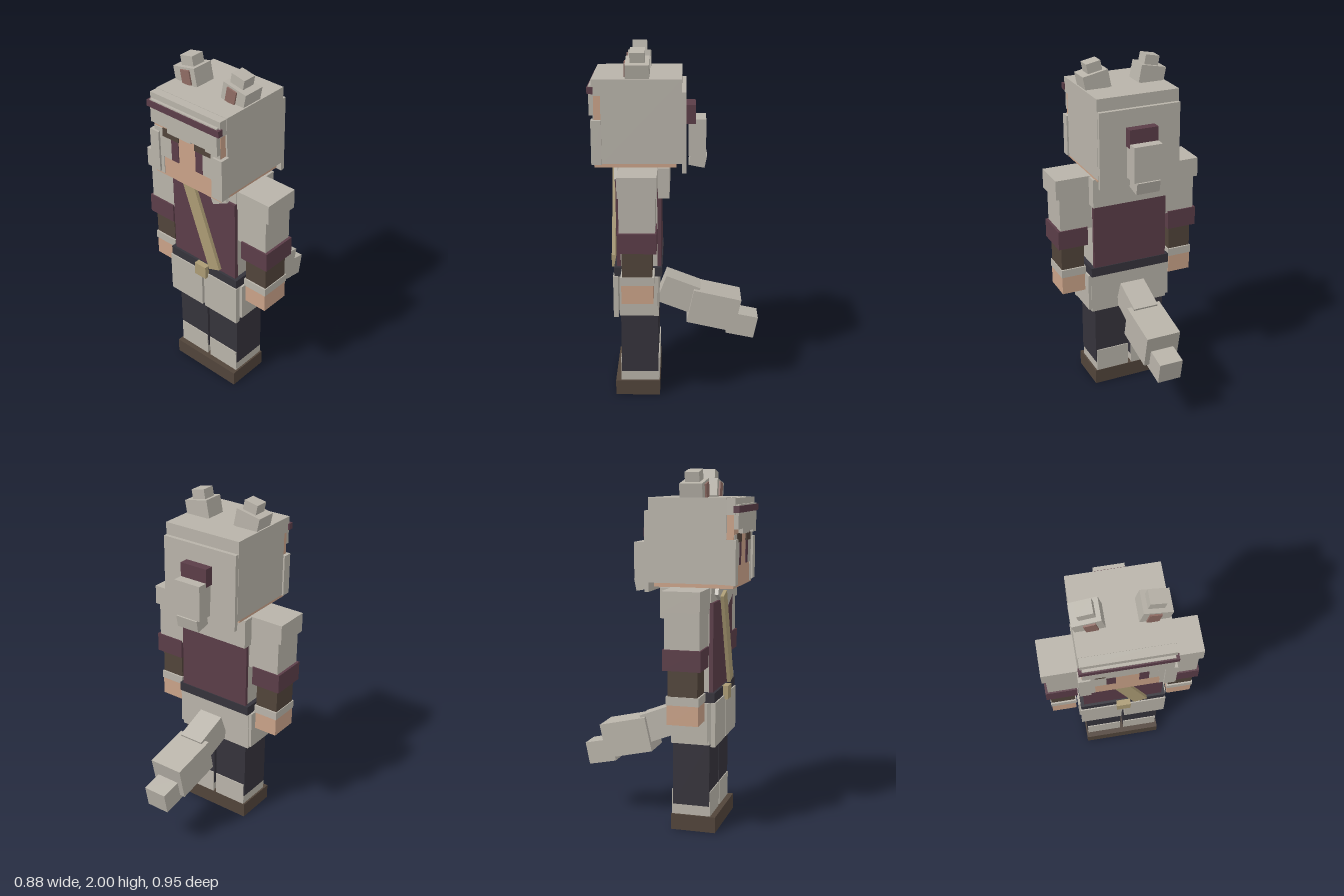
import * as THREE from 'three';

export function createModel() {
  const root = new THREE.Group();
  const mat = (name, color) => {
    const m = new THREE.MeshStandardMaterial({ color });
    m.name = name;
    return m;
  };
  const grey = mat('pale grey', 0xb8b3a9);
  const plum = mat('plum', 0x5b3d48);
  const dark = mat('charcoal', 0x35333b);
  const brown = mat('dark brown', 0x51443a);
  const skin = mat('skin', 0xc9a288);
  const tan = mat('tan', 0xab9b74);
  const pink = mat('inner ear pink', 0x8f6c64);

  // Box from its x, y and z ranges
  const box = (name, m, [x0, x1], [y0, y1], [z0, z1], parent = root) => {
    const mesh = new THREE.Mesh(new THREE.BoxGeometry(x1 - x0, y1 - y0, z1 - z0), m);
    mesh.position.set((x0 + x1) / 2, (y0 + y1) / 2, (z0 + z1) / 2);
    mesh.name = name;
    parent.add(mesh);
    return mesh;
  };
  // Box from centre, size and tilt
  const tilted = (name, m, pos, size, rx, rz) => {
    const mesh = new THREE.Mesh(new THREE.BoxGeometry(...size), m);
    mesh.position.set(...pos);
    mesh.rotation.set(rx, 0, rz);
    mesh.name = name;
    root.add(mesh);
    return mesh;
  };
  // x range on side s (+1 left, -1 right)
  const side = (s, a, b) => (s > 0 ? [a, b] : [-b, -a]);

  // Head and hair
  box('head', skin, [-0.232, 0.232], [1.37, 1.8], [0, 0.44]);
  box('hairCap', grey, [-0.242, 0.242], [1.392, 1.85], [-0.03, 0.402]);
  box('hairTop', grey, [-0.24, 0.24], [1.76, 1.848], [0.39, 0.45]);
  box('hairBack', grey, [-0.24, 0.24], [1.34, 1.78], [-0.053, -0.03]);
  box('headband', plum, [-0.248, 0.248], [1.772, 1.808], [0.44, 0.472]);
  const fringe = [[-0.23, -0.115, 1.685], [-0.115, 0.05, 1.657], [0.05, 0.15, 1.667], [0.15, 0.23, 1.655]];
  for (const [x0, x1, y0] of fringe) box('fringe', grey, [x0, x1], [y0, 1.815], [0.435, 0.465]);

  // Ponytail
  box('hairTie', plum, [-0.085, 0.085], [1.575, 1.68], [-0.105, -0.05]);
  box('ponytail', grey, [-0.084, 0.084], [1.395, 1.6], [-0.162, -0.065]);
  tilted('ponytailTip', grey, [0, 1.367, -0.117], [0.14, 0.07, 0.09], -0.2, 0);

  // Torso
  box('shirt', grey, [-0.222, 0.222], [0.75, 1.37], [0.1, 0.318]);
  box('vestFront', plum, [-0.226, 0.226], [0.79, 1.29], [0.31, 0.332]);
  box('vestBack', plum, [-0.226, 0.226], [0.79, 1.25], [0.085, 0.105]);
  box('backCollar', grey, [-0.245, 0.245], [1.2, 1.369], [0.038, 0.1]);
  tilted('leftCollarFlap', grey, [0.098, 1.333, 0.332], [0.11, 0.15, 0.02], 0, 0.44);
  tilted('rightCollarFlap', grey, [-0.09, 1.355, 0.332], [0.11, 0.11, 0.02], 0, -0.44);
  tilted('sash', tan, [0.006, 1.073, 0.354], [0.08, 0.545, 0.02], 0, 0.345);
  box('belt', dark, [-0.246, 0.246], [0.745, 0.8], [0.08, 0.346]);
  box('buckle', tan, [-0.04, 0.04], [0.725, 0.802], [0.34, 0.374]);
  box('hips', grey, [-0.24, 0.24], [0.505, 0.748], [0.1, 0.318]);

  for (const s of [1, -1]) {
    // Ears
    tilted('ear', grey, [s * 0.165, 1.888, 0.207], [0.15, 0.1, 0.126], 0, -s * 0.2);
    tilted('innerEar', pink, [s * 0.154, 1.888, 0.271], [0.062, 0.08, 0.016], 0, -s * 0.2);
    tilted('earTip', grey, [s * 0.172, 1.965, 0.206], [0.085, 0.055, 0.08], 0, -s * 0.2);

    // Face
    box('sideLock', grey, side(s, 0.19, 0.252), [1.39, 1.63], [0.4, 0.456]);
    box('cheekHair', grey, side(s, 0.168, 0.23), [1.38, 1.655], [0.437, 0.444]);
    box('eyeWhite', grey, side(s, 0.11, 0.168), [1.487, 1.612], [0.437, 0.444]);
    box('iris', plum, side(s, 0.06, 0.11), [1.487, 1.612], [0.437, 0.444]);
    box('eyebrow', brown, side(s, 0.056, 0.168), [1.612, 1.66], [0.438, 0.447]);

    // Arm
    box('shoulder', grey, side(s, 0.215, 0.44), [1.258, 1.371], [0.102, 0.312]);
    box('upperArm', grey, side(s, 0.226, 0.418), [1.05, 1.26], [0.112, 0.306]);
    box('sleeveCuff', plum, side(s, 0.255, 0.433), [0.948, 1.06], [0.105, 0.315]);
    box('forearm', brown, side(s, 0.272, 0.41), [0.8, 0.95], [0.13, 0.293]);
    box('wristBand', grey, side(s, 0.265, 0.415), [0.758, 0.805], [0.12, 0.302]);
    box('hand', skin, side(s, 0.271, 0.411), [0.65, 0.77], [0.125, 0.298]);

    // Skirt, leg and shin wraps
    box('frontSkirt', grey, side(s, 0.008, 0.25), [0.5, 0.747], [0.326, 0.353]);
    box('sideSkirt', grey, side(s, 0.235, 0.258), [0.52, 0.744], [0.105, 0.312]);
    box('leg', dark, side(s, 0.008, 0.22), [0.148, 0.52], [0.104, 0.314]);
    box('ankle', grey, side(s, 0.015, 0.216), [0.08, 0.152], [0.106, 0.312]);
    box('frontShinWrap', grey, side(s, 0.01, 0.215), [0.085, 0.23], [0.31, 0.319]);
    box('backShinWrap', grey, side(s, 0.01, 0.215), [0.085, 0.23], [0.098, 0.108]);
  }
  box('boots', brown, [-0.226, 0.226], [0, 0.09], [0.096, 0.35]);

  // Tail in three tilted segments
  tilted('tailBase', grey, [0, 0.565, -0.01], [0.15, 0.165, 0.21], -0.37, 0);
  tilted('tailMiddle', grey, [0, 0.472, -0.215], [0.204, 0.2, 0.28], -0.22, 0);
  tilted('tailTip', grey, [0, 0.37, -0.38], [0.14, 0.13, 0.165], -0.2, 0);

  return root;
}
